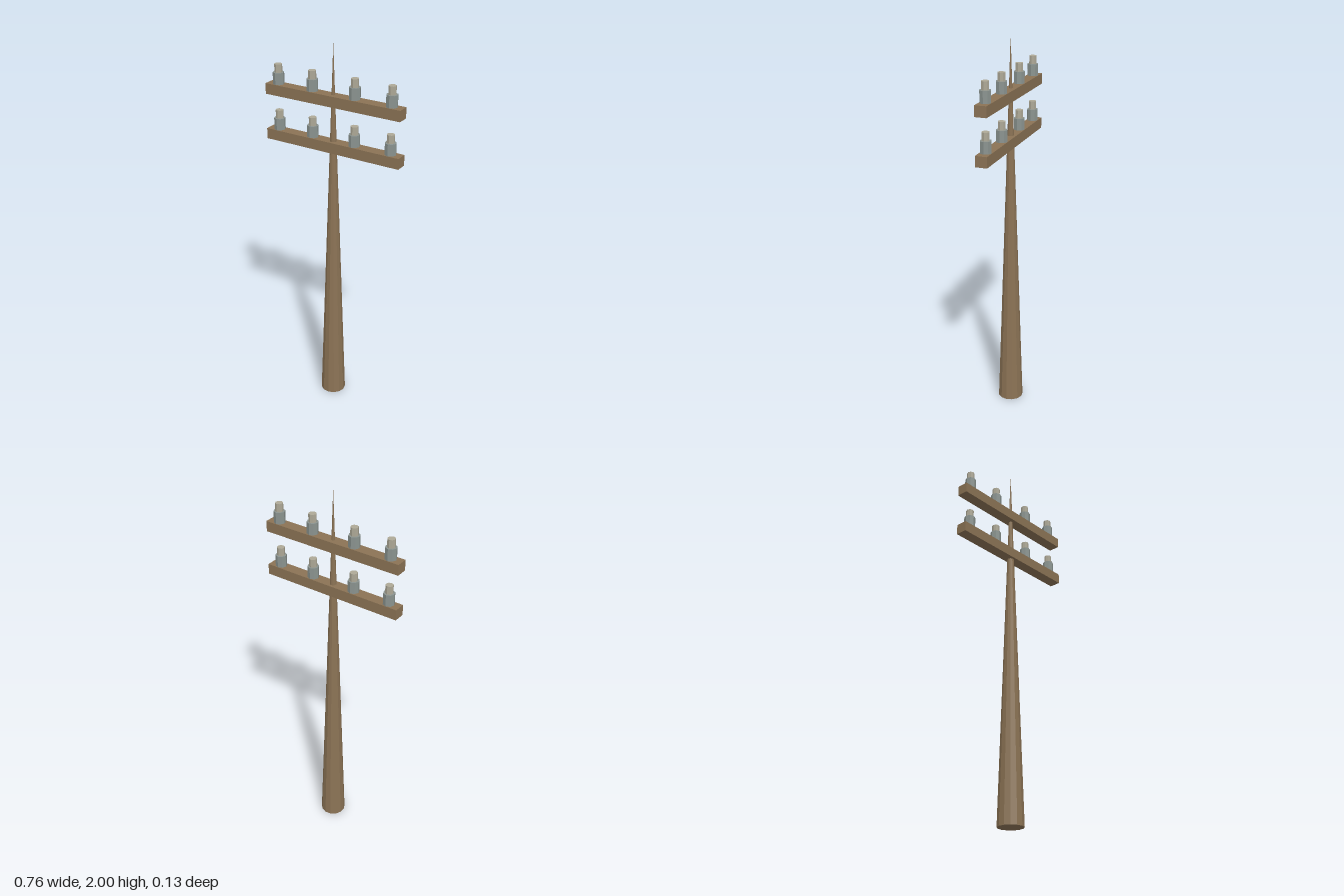
import * as THREE from 'three';

const flat = (name, color) => {
  const material = new THREE.MeshStandardMaterial({ color, flatShading: true });
  material.name = name;
  return material;
};

export function createModel() {
  const wood = flat('weathered wood', 0x8b7355);
  const glass = flat('grey ceramic', 0x8b9490);
  const pale = flat('pale ceramic', 0xaea997);

  const model = new THREE.Group();
  model.name = 'utilityPole';

  const add = (parent, name, geometry, material, x, y) => {
    const mesh = new THREE.Mesh(geometry, material);
    mesh.name = name;
    mesh.position.set(x, y, 0);
    parent.add(mesh);
  };

  // Tapered pole running to a point, with a corner towards +x
  const poleGeometry = new THREE.ConeGeometry(0.067, 2, 13, 1, false, Math.PI / 2);
  add(model, 'pole', poleGeometry, wood, 0, 1);

  // Shared crossarm and insulator shapes
  const beamHeight = 0.055;
  const beamGeometry = new THREE.BoxGeometry(0.76, beamHeight, 0.06);
  const baseGeometry = new THREE.CylinderGeometry(0.029, 0.029, 0.06, 8);
  const capGeometry = new THREE.CylinderGeometry(0.02, 0.02, 0.042, 8);

  // Two crossarms, each carrying four stepped insulators
  for (const [name, y] of [['lowerCrossarm', 1.478], ['upperCrossarm', 1.716]]) {
    const arm = new THREE.Group();
    arm.name = name;
    arm.position.y = y;
    add(arm, 'beam', beamGeometry, wood, 0, 0);
    for (const x of [-0.32, -0.12, 0.12, 0.32]) {
      const insulator = new THREE.Group();
      insulator.name = 'insulator';
      insulator.position.set(x, beamHeight / 2, 0);
      add(insulator, 'insulatorBase', baseGeometry, glass, 0, 0.03);
      add(insulator, 'insulatorCap', capGeometry, pale, 0, 0.081);
      arm.add(insulator);
    }
    model.add(arm);
  }

  return model;
}
